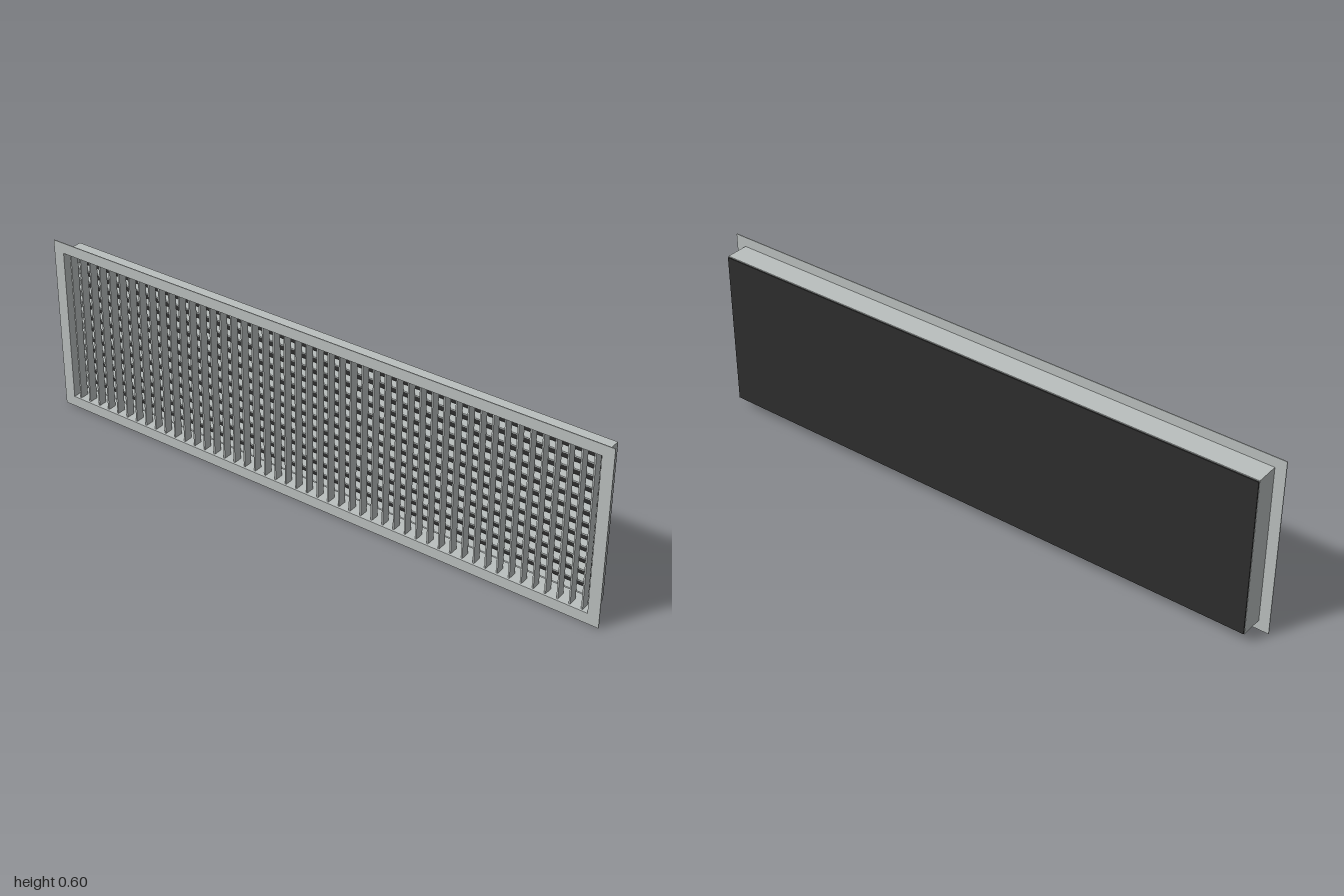
import * as THREE from 'three';

// Double-deflection air grille: flange, duct collar, two layers of blades, back panel
export function createModel() {
  const group = new THREE.Group();
  group.name = 'ventGrille';
  const metal = new THREE.MeshStandardMaterial({ color: 0xbabfbe });
  metal.name = 'light grey metal';
  const dark = new THREE.MeshStandardMaterial({ color: 0x2e2e2e });
  dark.name = 'dark backing';

  const H = 0.6, CY = H / 2;
  const IW = 0.965, IH = 0.267; // half size of the collar
  const WALL = 0.003;

  const rect = (C, hw, hh) => {
    const s = new C();
    s.moveTo(-hw, -hh);
    s.lineTo(hw, -hh);
    s.lineTo(hw, hh);
    s.lineTo(-hw, hh);
    s.closePath();
    return s;
  };

  // rectangular ring extruded from z0 to z1
  const ring = (name, hw, hh, iw, ih, z0, z1) => {
    const shape = rect(THREE.Shape, hw, hh);
    shape.holes.push(rect(THREE.Path, iw, ih));
    const geo = new THREE.ExtrudeGeometry(shape, { depth: z1 - z0, bevelEnabled: false });
    const mesh = new THREE.Mesh(geo, metal);
    mesh.name = name;
    mesh.position.set(0, CY, z0);
    group.add(mesh);
  };

  const box = (name, w, h, d, x, y, z, material, parent) => {
    const mesh = new THREE.Mesh(new THREE.BoxGeometry(w, h, d), material);
    mesh.name = name;
    mesh.position.set(x, y, z);
    parent.add(mesh);
  };

  // front flange and the collar behind it
  ring('flange', 1, CY, IW - WALL, IH - WALL, 0.039, 0.042);
  ring('collar', IW, IH, IW - WALL, IH - WALL, -0.038, 0.039);

  // back panel
  box('backPanel', 2 * (IW - 0.001), 2 * (IH - WALL), 0.004, 0, CY, -0.04, dark, group);

  // upright blades in front
  const uprights = new THREE.Group();
  uprights.name = 'verticalBlades';
  for (let i = 0; i < 48; i++) {
    box('verticalBlade', 0.005, 2 * (IH - WALL), 0.03, -0.94 + i * 0.04, CY, 0.02, metal, uprights);
  }
  group.add(uprights);

  // level blades behind
  const levels = new THREE.Group();
  levels.name = 'horizontalBlades';
  for (let i = 0; i < 13; i++) {
    box('horizontalBlade', 2 * (IW - WALL), 0.005, 0.03, 0, 0.06 + i * 0.04, -0.014, metal, levels);
  }
  group.add(levels);

  return group;
}
